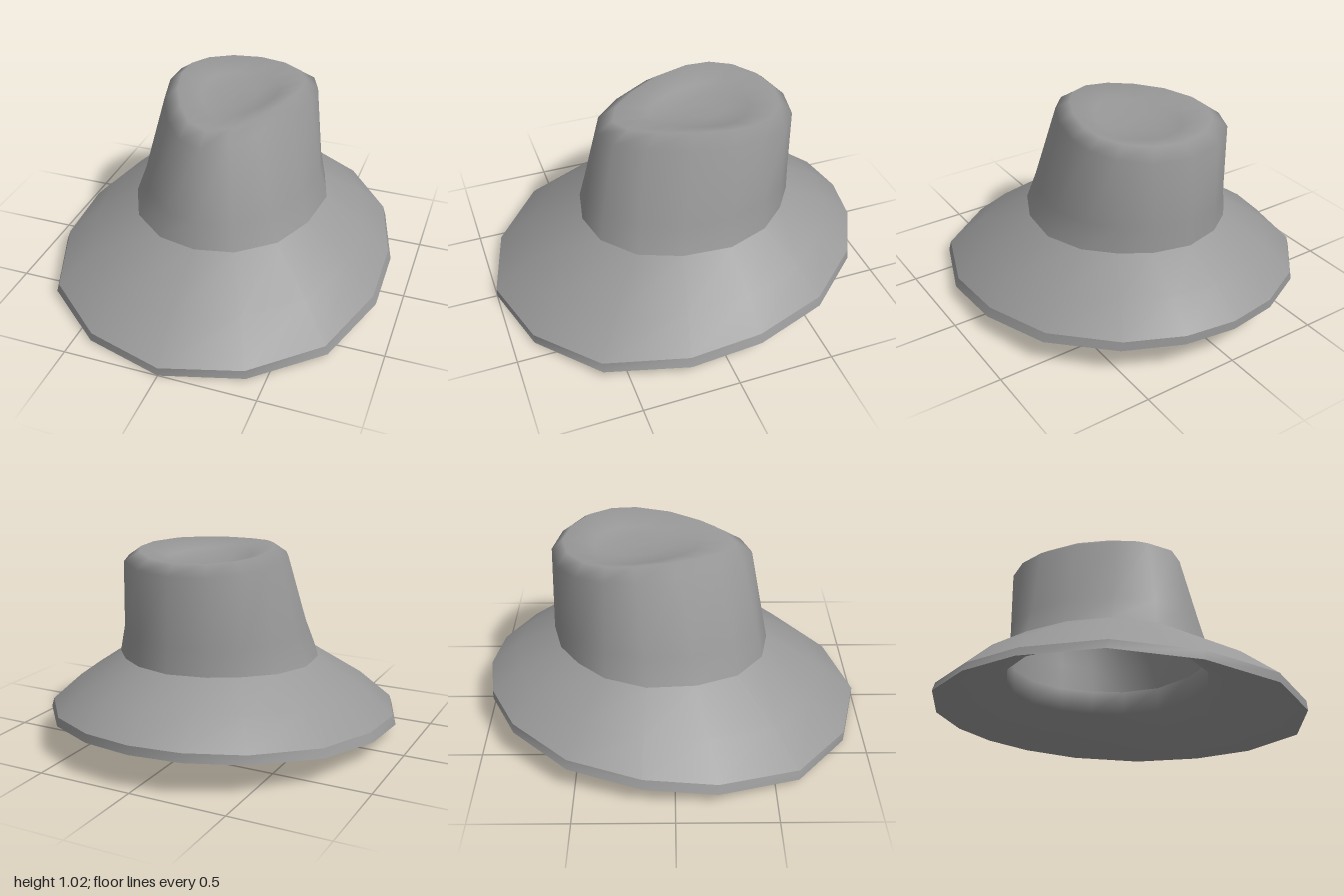
import * as THREE from 'three';

// Half outlines as [x, z], running from the front round the +x side to the back.
const BRIM = [[0, 1], [0.41, 0.89], [0.74, 0.62], [0.888, 0.21], [0.888, -0.16], [0.78, -0.53], [0.53, -0.82], [0.26, -0.96], [0, -1]];
const BASE = [[0, 0.5], [0.2, 0.46], [0.38, 0.32], [0.48, 0.11], [0.515, -0.14], [0.45, -0.35], [0.33, -0.49], [0.19, -0.59], [0, -0.64]];
const SHOULDER = [[0, 0.4], [0.13, 0.35], [0.24, 0.22], [0.34, 0.02], [0.393, -0.19], [0.388, -0.34], [0.33, -0.48], [0.19, -0.585], [0, -0.625]];
const RIM = [[0, 0.31], [0.11, 0.26], [0.2, 0.14], [0.28, -0.02], [0.325, -0.2], [0.32, -0.33], [0.265, -0.44], [0.15, -0.53], [0, -0.565]];

// Mirror a half outline into a closed ring, with height given by a rule on z.
function ring(half, height) {
  const mirrored = half.slice(1, -1).reverse().map(([x, z]) => [-x, z]);
  return [...half, ...mirrored].map(([x, z]) => new THREE.Vector3(x, height(z), z));
}

// Blend two rings, with an optional lift and sideways scale.
function blend(a, b, t, lift = 0, sx = 1) {
  return a.map((p, i) => {
    const v = p.clone().lerp(b[i], t);
    return v.set(v.x * sx, v.y + lift, v.z);
  });
}

// Shrink a ring towards the middle of the crown, at a fixed height.
function shrink(r, s, y) {
  const cz = -0.17;
  return r.map((p) => new THREE.Vector3(p.x * s, y, cz + (p.z - cz) * s));
}

// Smooth surface through a list of rings.
function loft(name, rings, material) {
  const n = rings[0].length;
  const index = [];
  for (let i = 0; i < rings.length - 1; i++) {
    for (let j = 0; j < n; j++) {
      const k = (j + 1) % n;
      const a = i * n + j, b = i * n + k, c = b + n, d = a + n;
      index.push(a, b, c, a, c, d);
    }
  }
  const geometry = new THREE.BufferGeometry().setFromPoints(rings.flat());
  geometry.setIndex(index);
  geometry.computeVertexNormals();
  const mesh = new THREE.Mesh(geometry, material);
  mesh.name = name;
  return mesh;
}

export function createModel() {
  const felt = new THREE.MeshStandardMaterial({ color: 0x999999, side: THREE.DoubleSide });

  // Brim rings: tilted, lower at the front
  const edgeLow = ring(BRIM, (z) => 0.096 - 0.095 * z);
  const edgeHigh = blend(edgeLow, edgeLow, 0, 0.047, 0.98);
  const base = ring(BASE, (z) => 0.434 - 0.057 * z);
  const brimMid = blend(edgeHigh, base, 0.41, 0.024);
  const opening = blend(base, base, 0, -0.14);

  // Crown rings: teardrop top with a rounded shoulder
  const shoulder = ring(SHOULDER, (z) => 0.97 - 0.11 * (z + 0.25) ** 2 - (z < -0.5 ? 0.01 : 0));
  const rim = ring(RIM, (z) => 1.02 - 0.15 * (z + 0.2) ** 2);
  const crownMid = blend(base, shoulder, 0.27, 0, 0.975);

  const hat = new THREE.Group();
  hat.name = 'hat';
  hat.add(
    loft('brimTop', [edgeHigh, brimMid, base], felt),
    loft('brimEdge', [edgeLow, edgeHigh], felt),
    // Inner band turning softly into the underside of the brim
    loft('brimUnderside', [base, opening, edgeLow], felt),
    // Crown wall, shoulder and the shallow dent in the top
    loft('crown', [base, crownMid, shoulder, rim, shrink(rim, 0.62, 0.968), shrink(rim, 0.3, 0.958), shrink(rim, 0.001, 0.956)], felt),
  );
  return hat;
}
